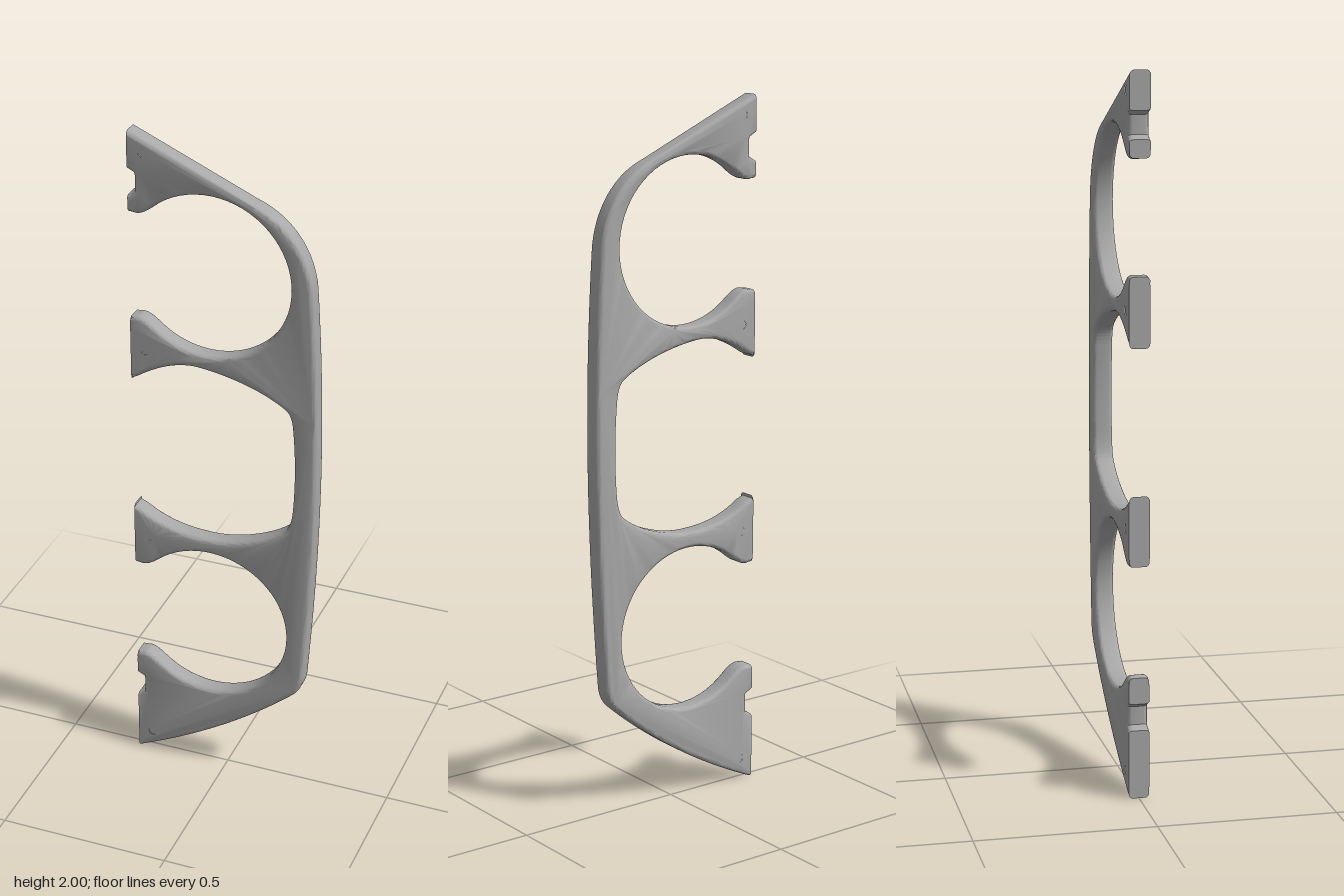
import * as THREE from 'three';
import { toCreasedNormals } from 'three/addons/utils/BufferGeometryUtils.js';

const LEFT = -0.275;        // flat mounting edge
const BORE_X = -0.05;       // centre of the round bays
const BORE_R = 0.237;
const MOUTH = 0.86;         // half angle of each bay's opening
const BEVEL = 0.012;
const THICK = 0.058;
const HOLE_R = 0.013;
const HOLES = [0.07, 0.76, 1.36, 1.945].map(y => new THREE.Vector2(-0.23, y));

// Round bay with a rounded lip above and below its mouth
function addBay(s, cy) {
  const a0 = Math.PI + MOUTH, a1 = 3 * Math.PI - MOUTH;
  const x = BORE_X + BORE_R * Math.cos(a0), dy = BORE_R * Math.sin(MOUTH);
  s.lineTo(LEFT, cy - 0.188);
  s.bezierCurveTo(LEFT, cy - 0.143, x - 0.04, cy - dy + 0.034, x, cy + BORE_R * Math.sin(a0));
  s.absarc(BORE_X, cy, BORE_R, a0, a1, false);
  s.bezierCurveTo(x - 0.04, cy + dy - 0.034, LEFT, cy + 0.143, LEFT, cy + 0.188);
}

// Small notch in the mounting edge
function addNotch(s, y0, y1) {
  s.lineTo(LEFT, y0 - 0.012);
  s.lineTo(LEFT + 0.019, y0);
  s.lineTo(LEFT + 0.019, y1);
  s.lineTo(LEFT, y1 + 0.012);
}

function frameShape() {
  const s = new THREE.Shape();
  s.moveTo(LEFT, 0.003);
  addNotch(s, 0.21, 0.262);
  addBay(s, 0.505);

  // Central open bay
  s.lineTo(LEFT, 0.858);
  s.bezierCurveTo(-0.19, 0.79, -0.1, 0.787, -0.04, 0.787);
  s.bezierCurveTo(0.04, 0.79, 0.13, 0.825, 0.178, 0.865);
  s.quadraticCurveTo(0.195, 0.88, 0.2, 0.93);
  s.quadraticCurveTo(0.21, 1.06, 0.198, 1.19);
  s.quadraticCurveTo(0.195, 1.235, 0.178, 1.25);
  s.bezierCurveTo(0.11, 1.3, -0.01, 1.33, -0.09, 1.335);
  s.bezierCurveTo(-0.16, 1.335, -0.22, 1.3, LEFT, 1.262);

  addBay(s, 1.612);
  addNotch(s, 1.83, 1.882);

  // Outer edge: sloped top, rounded shoulder, bowed side, sloped foot
  s.lineTo(LEFT, 2);
  s.lineTo(0.08, 1.843);
  s.bezierCurveTo(0.17, 1.81, 0.235, 1.73, 0.248, 1.62);
  s.bezierCurveTo(0.278, 1.22, 0.275, 0.85, 0.24, 0.38);
  s.quadraticCurveTo(0.237, 0.335, 0.205, 0.308);
  s.quadraticCurveTo(0, 0.125, LEFT, 0.003);

  for (const h of HOLES) {
    const p = new THREE.Path();
    p.absarc(h.x, h.y, 0.01, 0, Math.PI * 2, true);
    s.holes.push(p);
  }
  return s;
}

export function createModel() {
  const geo = new THREE.ExtrudeGeometry(frameShape(), {
    depth: THICK - 2 * BEVEL,
    bevelEnabled: true,
    bevelThickness: BEVEL,
    bevelSize: BEVEL,
    bevelOffset: -BEVEL,
    bevelSegments: 4,
    curveSegments: 24,
  });
  geo.translate(0, 0, BEVEL - THICK / 2);

  // Keep the mounting edge square and the screw holes straight
  const pos = geo.attributes.position, v = new THREE.Vector2();
  for (let i = 0; i < pos.count; i++) {
    v.set(pos.getX(i), pos.getY(i));
    if (v.x < LEFT + BEVEL + 0.001) v.x = LEFT;
    for (const h of HOLES) {
      if (v.distanceTo(h) < 0.026) v.sub(h).setLength(HOLE_R).add(h);
    }
    pos.setXY(i, v.x, v.y);
  }

  const grey = new THREE.MeshStandardMaterial({ color: 0xa8a8a8 });
  grey.name = 'grey';
  const frame = new THREE.Mesh(toCreasedNormals(geo, 0.6), grey);
  frame.name = 'bracketFrame';

  const group = new THREE.Group();
  group.name = 'bracket';
  group.add(frame);
  return group;
}
